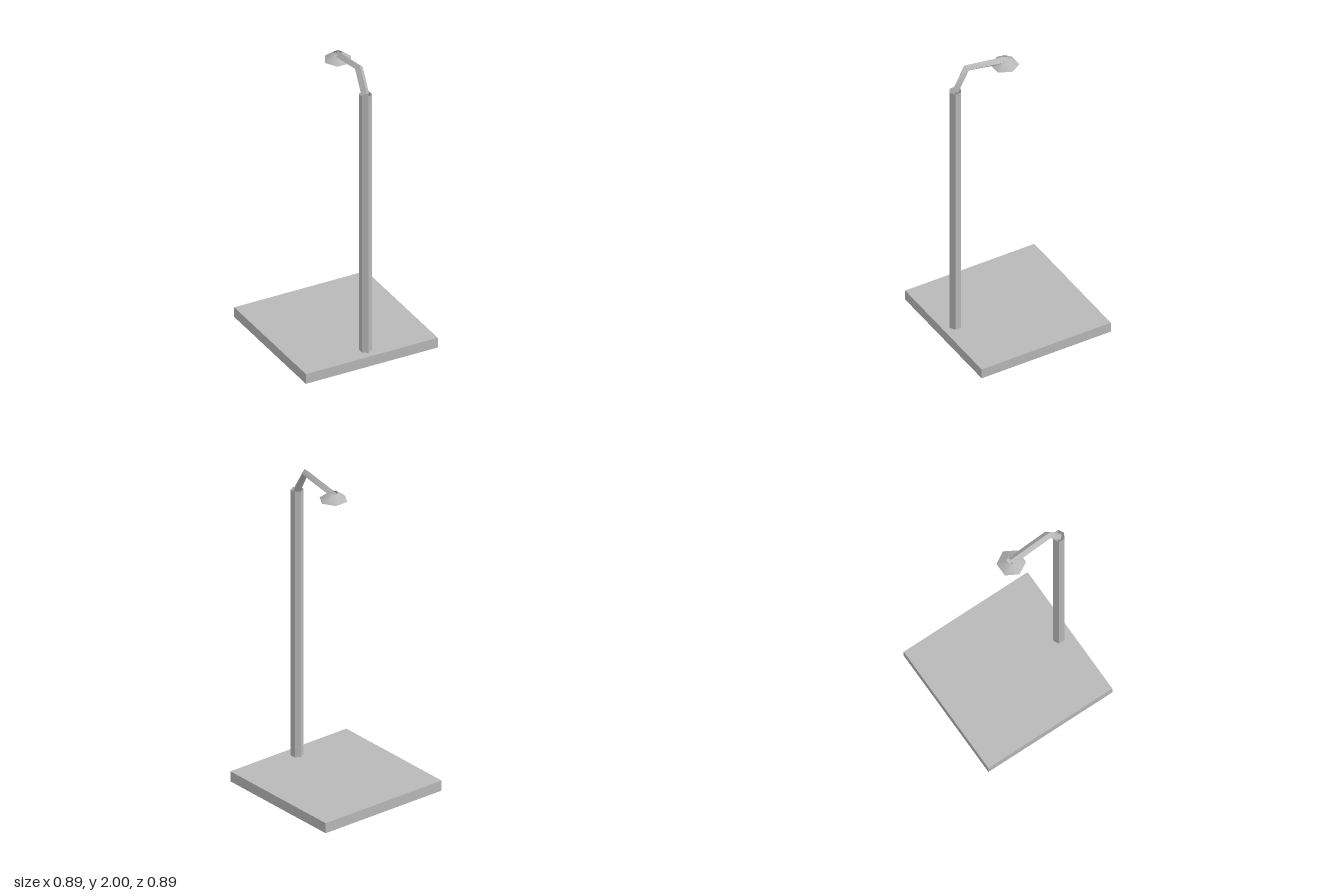
import * as THREE from 'three';

const gray = new THREE.MeshStandardMaterial({ name: 'gray', color: 0xb8b8b8, side: THREE.DoubleSide });

function add(group, name, geometry, x = 0, y = 0, z = 0) {
  const mesh = new THREE.Mesh(geometry, gray);
  mesh.name = name;
  mesh.position.set(x, y, z);
  group.add(mesh);
  return mesh;
}

// Diamond-section tube through rings of [y, z, tilt]; each side is its own smooth strip.
function diamondTube(rings, r) {
  const positions = [], index = [];
  for (let side = 0; side < 4; side++) {
    const first = positions.length / 3;
    for (const [y, z, tilt] of rings) {
      for (const corner of [side, side + 1]) {
        const a = corner * Math.PI / 2;
        const out = Math.cos(a) * r;
        positions.push(Math.sin(a) * r, y + out * Math.sin(tilt), z + out * Math.cos(tilt));
      }
    }
    for (let i = 0; i < rings.length - 1; i++) {
      const a = first + i * 2;
      index.push(a, a + 1, a + 3, a, a + 3, a + 2);
    }
  }
  const geometry = new THREE.BufferGeometry();
  geometry.setAttribute('position', new THREE.Float32BufferAttribute(positions, 3));
  geometry.setIndex(index);
  geometry.computeVertexNormals();
  return geometry;
}

export function createModel() {
  const lamp = new THREE.Group();
  lamp.name = 'streetLamp';

  // Ground slab, hollow and open underneath
  const size = 0.895, height = 0.067;
  const slab = new THREE.Group();
  slab.name = 'base';
  lamp.add(slab);
  add(slab, 'baseTop', new THREE.PlaneGeometry(size, size).rotateX(-Math.PI / 2), 0, height, 0);
  for (let i = 0; i < 4; i++) {
    const wall = new THREE.PlaneGeometry(size, height).translate(0, height / 2, size / 2);
    add(slab, 'baseSide', wall.rotateY(i * Math.PI / 2));
  }

  // Open six-sided post
  const post = new THREE.CylinderGeometry(0.0385, 0.0385, 1.77, 6, 1, true).toNonIndexed();
  post.computeVertexNormals();
  add(lamp, 'post', post, 0, height + 0.885, 0.366);

  // Bent arm
  add(lamp, 'arm', diamondTube([
    [1.834, 0.3645, 0.53],
    [1.9765, 0.286, 1.15],
    [1.932, 0.019, 1.48],
  ], 0.0262));

  // Six-sided shade with an open top and a shallow cone beneath
  const turn = Math.PI / 2;
  add(lamp, 'shade', new THREE.CylinderGeometry(0.028, 0.0885, 0.047, 6, 1, true, turn), 0, 1.9235, 0.0235);
  add(lamp, 'lampGlass', new THREE.CylinderGeometry(0.0885, 0, 0.015, 6, 1, true, turn), 0, 1.8925, 0.0235);

  return lamp;
}
